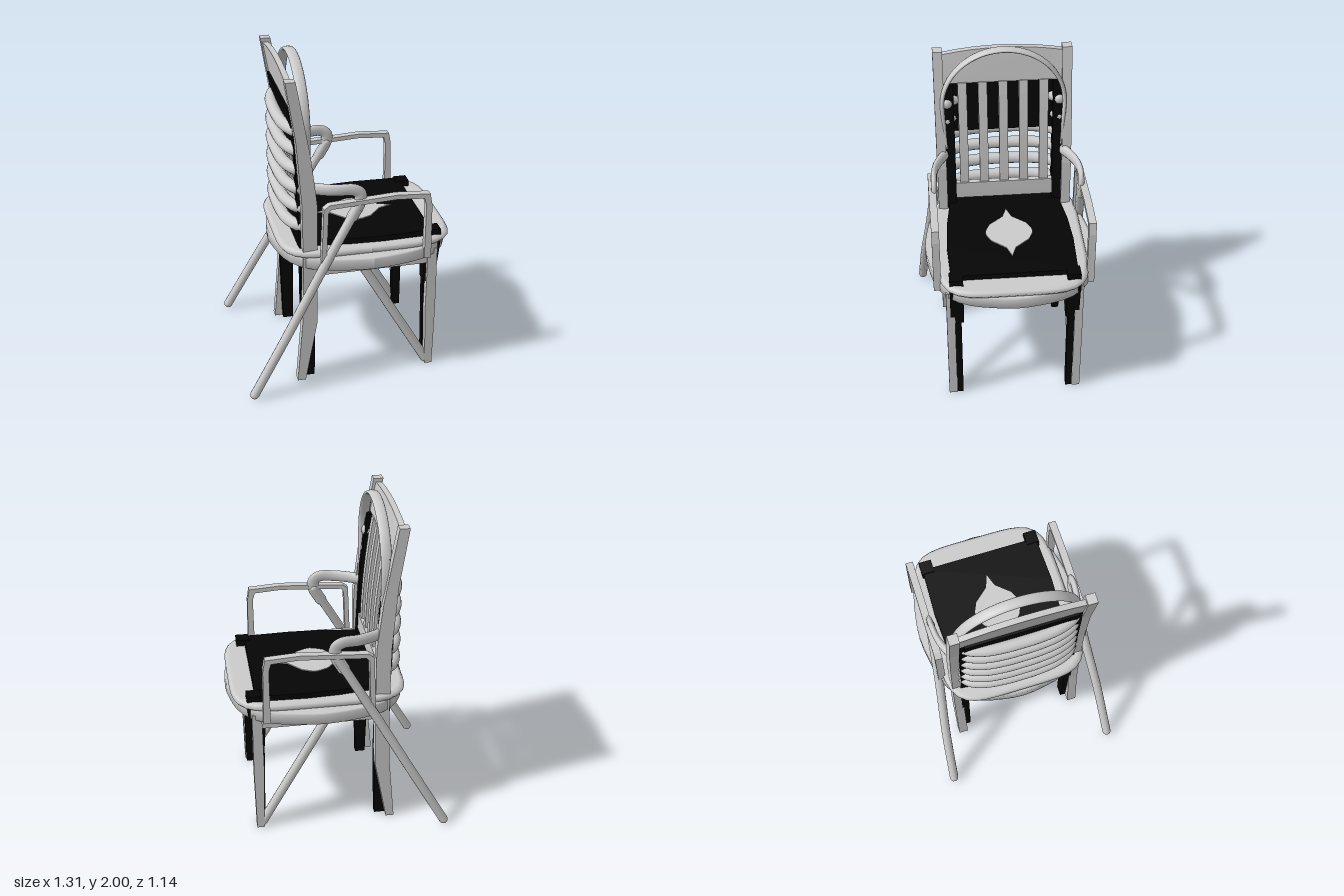
import * as THREE from 'three';

const grey = new THREE.MeshStandardMaterial({ color: 0xcccccc, side: THREE.DoubleSide });
const greyFlat = new THREE.MeshStandardMaterial({ color: 0xcccccc, flatShading: true, side: THREE.DoubleSide });
const black = new THREE.MeshStandardMaterial({ color: 0x050505, flatShading: true });

// Horizontal position of the reclined back at height y
const backX = (y) => -0.255 - 0.1 * Math.max(0, y - 0.95) ** 2;
const v3 = (p) => new THREE.Vector3(...p);

export function createModel() {
  const model = new THREE.Group();

  const add = (name, geometry, material) => {
    const mesh = new THREE.Mesh(geometry, material);
    mesh.name = name;
    model.add(mesh);
  };
  const shapeOf = (pts) => new THREE.Shape(pts.map((p) => new THREE.Vector2(...p)));

  // Side profile extruded across z, placed on both sides
  const sidePair = (name, pts, z0, z1, material) => {
    for (const z of [z0, -z1]) {
      const g = new THREE.ExtrudeGeometry(shapeOf(pts), { depth: z1 - z0, bevelEnabled: false });
      add(name, g.translate(0, 0, z), material);
    }
  };

  // Rod through points, mirrored, with ball ends; flat < 1 thins its section in z
  const rodPair = (name, pts, r, flat = 1) => {
    for (const s of [1, -1]) {
      const path = pts.map(([x, y, z]) => v3([x, y, z * s / flat]));
      const curve = new THREE.CatmullRomCurve3(path, false, 'centripetal');
      add(name, new THREE.TubeGeometry(curve, 40, r, 12).scale(1, 1, flat), grey);
      for (const p of [path[0], path.at(-1)]) {
        add(name + 'End', new THREE.SphereGeometry(r, 12, 8).translate(p.x, p.y, p.z).scale(1, 1, flat), grey);
      }
    }
  };

  // Lathe stretched into a rounded rectangle, with an optional slight point on each axis
  const roundedDisc = (name, profile, a, b, n, segments, point = 0) => {
    const g = new THREE.LatheGeometry(profile.map((p) => new THREE.Vector2(...p)), segments);
    const pos = g.attributes.position;
    for (let i = 0; i < pos.count; i++) {
      const x = pos.getX(i), z = pos.getZ(i), r = Math.hypot(x, z);
      if (r > 1e-6) {
        const c = Math.abs(x / r), s = Math.abs(z / r);
        const k = (c ** n + s ** n) ** (-1 / n) * (1 + point * Math.max(c, s) ** 30);
        pos.setX(i, x * k * a);
        pos.setZ(i, z * k * b);
      }
    }
    g.computeVertexNormals();
    add(name, g.translate(0.11, 0, 0), grey);
  };

  // Flat plan shape lying at a given top height
  const plate = (name, pts, top, depth, material) => {
    const g = new THREE.ExtrudeGeometry(shapeOf(pts), { depth, bevelEnabled: false });
    add(name, g.rotateX(Math.PI / 2).translate(0, top, 0), material);
  };

  // Board that follows the curve of the back
  const backBoard = (name, y0, y1, z, width, thick, offset, material, arch = 0) => {
    const g = new THREE.BoxGeometry(thick, y1 - y0, width, 1, 8, 8).translate(0, (y0 + y1) / 2, 0);
    const pos = g.attributes.position;
    for (let i = 0; i < pos.count; i++) {
      const y = pos.getY(i), t = pos.getZ(i) / (width / 2);
      pos.setX(i, pos.getX(i) + backX(y) + offset);
      pos.setY(i, y + arch * (1 - t * t) * (y - y0) / (y1 - y0));
    }
    g.computeVertexNormals();
    add(name, g.translate(0, 0, z), material);
  };

  // Seats
  roundedDisc('lowerSeat', [[0, 0.76], [0.2, 0.766], [0.5, 0.778], [0.94, 0.785], [1, 0.79], [1, 0.852], [0.97, 0.856], [0, 0.87]],
    0.527, 0.498, 3, 48, 0.035);
  roundedDisc('seatRing', [[0, 0.86], [0.93, 0.855], [0.98, 0.862], [1, 0.878], [0.98, 0.895], [0.94, 0.902], [0.88, 0.895], [0, 0.9]],
    0.53, 0.455, 5, 64);
  plate('darkSeat', [[-0.31, -0.33], [-0.23, -0.345], [0.0, -0.375], [0.2, -0.385], [0.5, -0.375],
    [0.5, 0.375], [0.2, 0.385], [0.0, 0.375], [-0.23, 0.345], [-0.31, 0.33]], 0.93, 0.05, black);
  const crest = [];
  for (const [sx, sz] of [[1, 1], [-1, 1], [-1, -1], [1, -1]]) {
    const quarter = [[0.235, 0], [0.155, 0.028], [0.08, 0.115], [0.025, 0.14], [0, 0.145]];
    if (sx * sz < 0) quarter.reverse();
    for (const [x, z] of quarter.slice(0, -1)) crest.push([0.11 + sx * x, sz * z]);
  }
  plate('seatCrest', crest, 0.936, 0.02, grey);

  // Square frame under the seat
  sidePair('sideApron', [[-0.22, 0.72], [0.48, 0.72], [0.48, 0.82], [-0.22, 0.82]], 0.36, 0.4, greyFlat);
  plate('seatBoard', [[-0.25, -0.37], [0.5, -0.37], [0.5, 0.37], [-0.25, 0.37]], 0.8, 0.028, greyFlat);

  // Legs and back posts
  sidePair('rearPost', [[-0.34, 0], [-0.29, 0], [-0.215, 0.4], [-0.21, 0.8], [-0.21, 1.2], [-0.245, 1.5],
    [-0.325, 1.955], [-0.385, 1.955], [-0.33, 1.6], [-0.3, 1.2], [-0.295, 0.75], [-0.305, 0.4]], 0.357, 0.415, greyFlat);
  sidePair('darkRearLeg', [[-0.29, 0], [-0.225, 0], [-0.215, 0.5], [-0.22, 0.9], [-0.308, 0.9], [-0.305, 0.5]],
    0.322, 0.368, black);
  sidePair('darkRearPost', [[-0.22, 0.9], [-0.24, 1.4], [-0.28, 1.75], [-0.34, 1.75], [-0.325, 1.4], [-0.308, 0.9]],
    0.3, 0.36, black);
  sidePair('frontLeg', [[0.475, 0], [0.52, 0], [0.528, 0.4], [0.528, 0.82], [0.47, 0.82], [0.465, 0.4]], 0.36, 0.41, greyFlat);
  sidePair('darkFrontLeg', [[0.465, 0], [0.515, 0], [0.52, 0.6], [0.455, 0.6]], 0.322, 0.368, black);
  sidePair('darkLegTop', [[0.455, 0.585], [0.522, 0.585], [0.553, 0.85], [0.553, 0.935],
    [0.47, 0.935], [0.445, 0.85], [0.45, 0.7]], 0.307, 0.387, black);

  // Slatted back
  backBoard('topRail', 1.75, 1.93, 0, 0.73, 0.035, -0.005, greyFlat, 0.035);
  backBoard('lowerRail', 0.965, 1.075, 0, 0.72, 0.035, 0.01, greyFlat);
  for (let i = -2; i <= 2; i++) backBoard('backSlat', 1.05, 1.755, i * 0.123, 0.054, 0.025, 0.007, greyFlat);
  backBoard('darkTopRail', 1.43, 1.755, 0, 0.66, 0.03, -0.022, black);

  // Bowed ladder rungs
  for (let i = 0; i < 6; i++) {
    const pts = [[-0.285, 0.34], [-0.32, 0.31], [-0.355, 0.22], [-0.37, 0.1], [-0.372, 0],
      [-0.37, -0.1], [-0.355, -0.22], [-0.32, -0.31], [-0.285, -0.34]];
    const y = 1.035 + i * 0.119;
    const curve = new THREE.CatmullRomCurve3(pts.map(([x, z]) => v3([x, y, z])));
    add('backRung', new THREE.TubeGeometry(curve, 40, 0.036, 12), grey);
    for (const z of [0.34, -0.34]) {
      add('rungEnd', new THREE.SphereGeometry(0.036, 12, 8).translate(-0.285, y, z), grey);
    }
  }

  // Bent hoop with an oval section
  const hoopPath = [[0, 1.33, 0.35], [0, 1.48, 0.362]];
  for (let i = 0; i <= 16; i++) {
    const a = (i / 16) * Math.PI;
    hoopPath.push([0, 1.62 + 0.367 * Math.sin(a), 0.37 * Math.cos(a)]);
  }
  hoopPath.push([0, 1.48, -0.362], [0, 1.33, -0.35]);
  const hoop = new THREE.TubeGeometry(new THREE.CatmullRomCurve3(hoopPath.map(v3)), 80, 0.013, 12);
  add('hoop', hoop.scale(2.5, 1, 1).translate(-0.268, 0, 0), grey);

  // Bent arms flattened sideways, the splayed rear legs below them, and the slanted front struts
  rodPair('bentArm', [[-0.25, 1.285, 0.36], [-0.2, 1.285, 0.39], [-0.1, 1.285, 0.43], [0.0, 1.283, 0.443],
    [0.037, 1.255, 0.443], [0.035, 1.2, 0.444], [-0.01, 1.115, 0.449]], 0.037, 0.5);
  rodPair('splayedLeg', [[0.035, 1.2, 0.444], [-0.2, 0.79, 0.477], [-0.42, 0.4, 0.516], [-0.63, 0.028, 0.54]], 0.028);
  rodPair('slantedStrut', [[0.07, 0.74, 0.355], [0.48, 0.028, 0.38]], 0.028);

  // Square arm frames
  sidePair('armFrame', [[-0.2, 0.84], [-0.185, 1.19], [-0.15, 1.215], [0.25, 1.238], [0.45, 1.225], [0.463, 1.15],
    [0.467, 0.8], [0.425, 0.8], [0.428, 1.15], [0.415, 1.198], [0.25, 1.21], [-0.14, 1.188], [-0.157, 1.165],
    [-0.17, 0.84]], 0.433, 0.478, greyFlat);

  return model;
}
